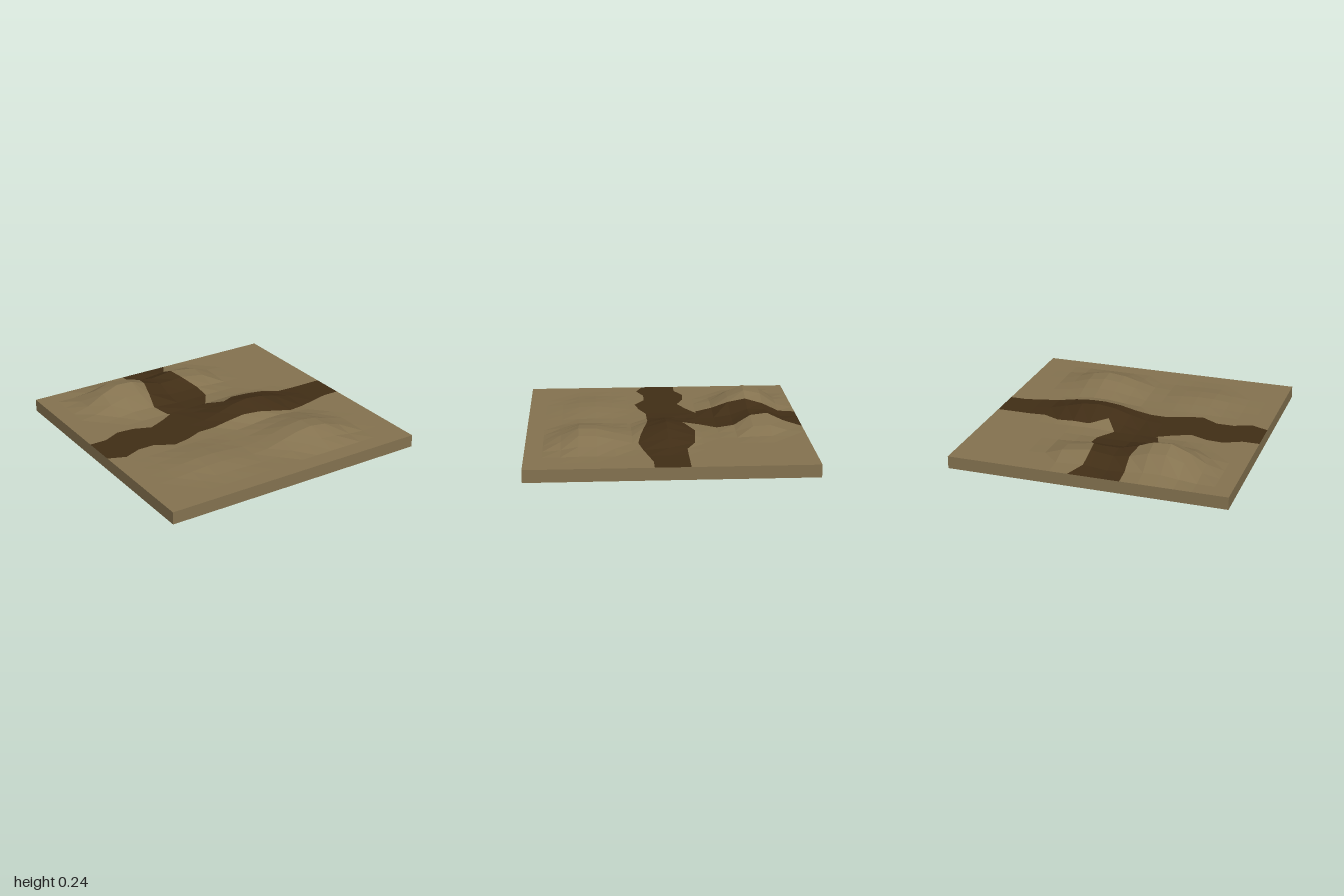
import * as THREE from 'three';

const N = 16, STEP = 2 / N, THICK = 0.09;

// Hills: centre x, z, height, then reach towards -x, +x, -z, +z
const HILLS = [
  [-0.46, -0.66, 0.152, 0.42, 0.5, 0.3, 0.38],
  [0.1, -0.71, 0.09, 0.4, 0.35, 0.25, 0.3],
  [0.25, 0, 0.09, 0.45, 0.5, 0.3, 0.32],
  [0.38, 0.59, 0.092, 0.5, 0.42, 0.48, 0.3],
  [-0.42, 0.53, 0.03, 0.45, 0.45, 0.35, 0.33],
];

// Road edges, one value per grid line
const NORTH = [-0.125, -0.125, -0.185, -0.175, -0.125, -0.18, -0.25, -0.17, -0.15,
  -0.125, -0.205, -0.195, -0.187, -0.125, -0.125, -0.125, -0.125];
const SOUTH = [0.125, 0.175, 0.125, 0.125, 0.2, 0.175, 0.125, 0.125, 0.125,
  0.135, 0.16, 0.19, 0.21, 0.18, 0.15, 0.12, 0.12];
const WEST = [-0.25, -0.245, -0.24, -0.27, -0.3, -0.33, -0.29];
const EAST = [0.12, 0.05, 0.04, 0.06, 0.125, 0.125, 0.04];

const falloff = (d, r) => 0.5 * (1 + Math.cos(Math.PI * Math.min(1, d / r)));

function heightAt(x, z) {
  let y = THICK;
  for (const [cx, cz, h, xn, xp, zn, zp] of HILLS) {
    const dx = Math.abs(x - cx) / (x < cx ? xn : xp);
    const dz = Math.abs(z - cz) / (z < cz ? zn : zp);
    y += h * falloff(Math.hypot(dx, dz), 1);
  }
  return y;
}

// Grid point, pulled onto the road edge where one passes
function gridPoint(i, j, lower) {
  let x = -1 + i * STEP, z = -1 + j * STEP;
  if (j === 7) z = NORTH[i];
  if (j === 9) z = SOUTH[i];
  if (j < 7 && i === 6) x = WEST[j];
  if (j < 7 && i === 9) x = EAST[j];
  const edge = i === 0 || j === 0 || i === N || j === N;
  const y = edge ? THICK : heightAt(x, z);
  return [x, lower ? y - THICK : y, z];
}

const isRoad = (i, j) => j === 7 || j === 8 || (j < 7 && i >= 6 && i <= 8);

// Quad with corners counter-clockwise seen from its front
function quad(out, a, b, c, d) {
  out.push(...a, ...b, ...c, ...a, ...c, ...d);
}

function makeMesh(name, positions, material) {
  const g = new THREE.BufferGeometry();
  g.setAttribute('position', new THREE.Float32BufferAttribute(positions, 3));
  g.computeVertexNormals();
  const mesh = new THREE.Mesh(g, material);
  mesh.name = name;
  return mesh;
}

export function createModel() {
  const group = new THREE.Group();
  group.name = 'terrainTile';
  const earth = new THREE.MeshStandardMaterial({ color: 0x857350, flatShading: true });
  const dirt = new THREE.MeshStandardMaterial({ color: 0x412e16, flatShading: true });
  const ground = [], road = [], underside = [], sides = [];

  // Upper surface split into ground and road, with a matching underside
  for (let j = 0; j < N; j++) {
    for (let i = 0; i < N; i++) {
      const corners = (low) => [[i, j], [i, j + 1], [i + 1, j + 1], [i + 1, j]]
        .map(([u, v]) => gridPoint(u, v, low));
      quad(isRoad(i, j) ? road : ground, ...corners(false));
      quad(underside, ...corners(true).reverse());
    }
  }

  // Four side walls
  const wall = (p, q) => quad(sides, gridPoint(...p, true), gridPoint(...q, true),
    gridPoint(...q, false), gridPoint(...p, false));
  for (let k = 0; k < N; k++) {
    wall([k, N], [k + 1, N]);
    wall([k + 1, 0], [k, 0]);
    wall([N, k + 1], [N, k]);
    wall([0, k], [0, k + 1]);
  }

  group.add(
    makeMesh('ground', ground, earth),
    makeMesh('road', road, dirt),
    makeMesh('underside', underside, earth),
    makeMesh('sideWalls', sides, earth),
  );
  return group;
}
